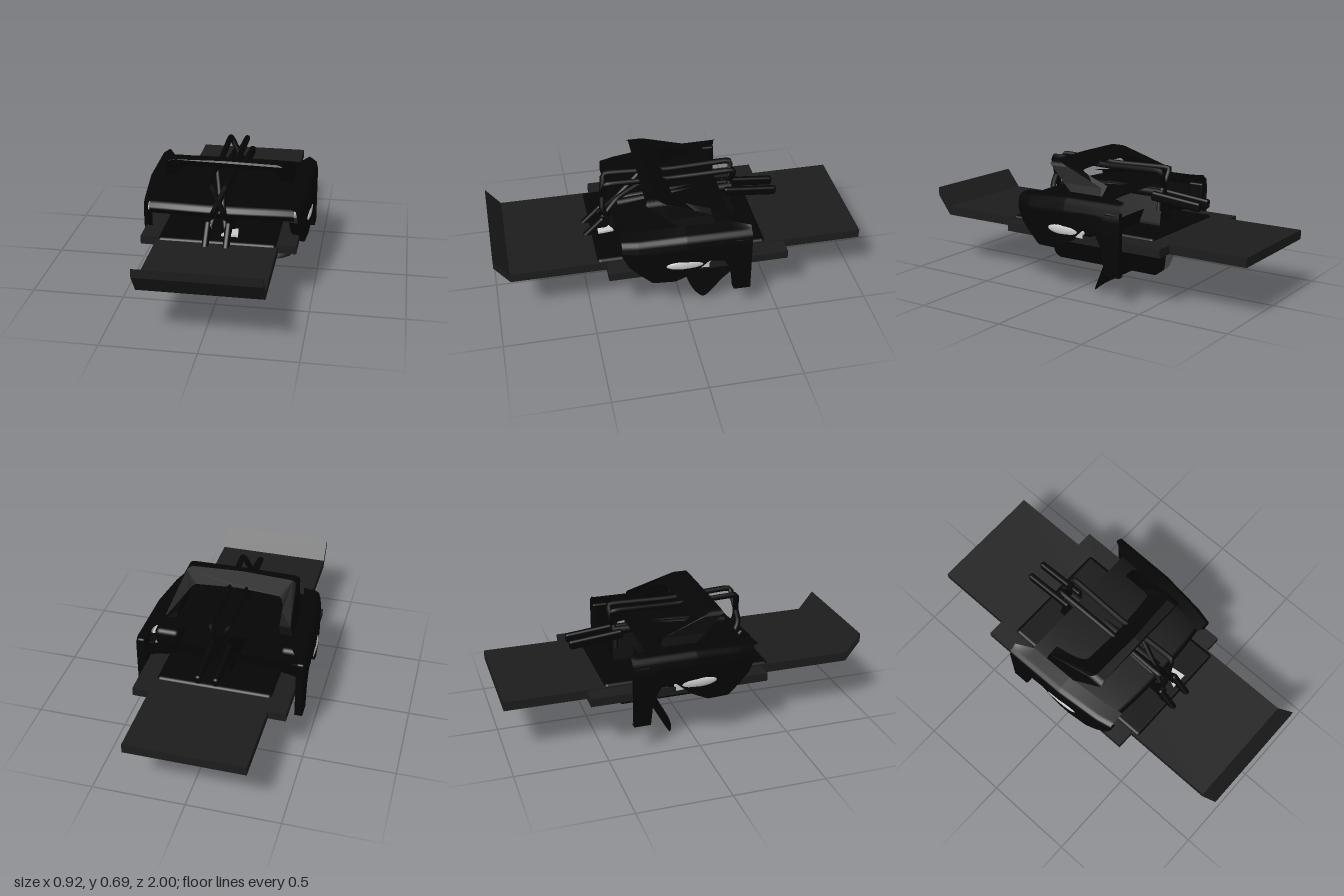
import * as THREE from 'three';
import { ParametricGeometry } from 'three/addons/geometries/ParametricGeometry.js';
import { RoundedBoxGeometry } from 'three/addons/geometries/RoundedBoxGeometry.js';

const mat = (color) => new THREE.MeshStandardMaterial({ color, side: THREE.DoubleSide });
const black = mat(0x050505), dark = mat(0x1c1c1c), pale = mat(0xcccccc);
const V = (x, y, z) => new THREE.Vector3(x, y, z);

export function createModel() {
  const root = new THREE.Group();
  const add = (name, geo, m = black, x = 0, y = 0, z = 0) => {
    const mesh = new THREE.Mesh(geo, m);
    mesh.name = name;
    mesh.position.set(x, y, z);
    root.add(mesh);
    return mesh;
  };
  const surface = (fn, nu, nv) => new ParametricGeometry((u, v, t) => t.set(...fn(u, v)), nu, nv);
  const tube = (pts, r) =>
    new THREE.TubeGeometry(new THREE.CatmullRomCurve3(pts.map((p) => V(...p)), false, 'catmullrom', 0.3), 60, r, 8);
  // linear interpolation in a short list of [key, value] pairs, keys rising
  const table = (list, k) => {
    let i = 1;
    while (i < list.length - 1 && list[i][0] < k) i++;
    const [a, b] = [list[i - 1], list[i]];
    return a[1] + (b[1] - a[1]) * THREE.MathUtils.clamp((k - a[0]) / (b[0] - a[0]), 0, 1);
  };

  // flat decks
  add('longDeck', new THREE.BoxGeometry(0.64, 0.05, 1.92), dark, 0, 0.308, -0.04);
  add('wideDeck', new THREE.BoxGeometry(0.83, 0.046, 0.975), dark, 0, 0.306, -0.0775);

  // upturned front lip of the deck
  const lip = new THREE.Shape([[0.92, 0.283], [1, 0.39], [1, 0.437], [0.92, 0.333]].map((p) => new THREE.Vector2(-p[0], p[1])));
  const lipGeo = new THREE.ExtrudeGeometry(lip, { depth: 0.64, bevelEnabled: false });
  lipGeo.translate(0, 0, -0.32).rotateY(Math.PI / 2);
  add('frontLip', lipGeo, dark);

  // flat panel set into the deck
  add('floorPanel', new RoundedBoxGeometry(0.63, 0.075, 0.92, 3, 0.02), black, 0, 0.307, -0.005);

  // bonnet, gently crowned, with a folded front edge
  add('bonnet', surface((u, v) => {
    const x = u * 2 - 1;
    const z = table([[0, 0.32], [0.12, 0.34], [0.2, 0.32], [1, -0.26]], v);
    const y = table([[0, 0.42], [0.12, 0.46], [0.2, 0.49], [0.6, 0.525], [1, 0.542]], v);
    return [x * 0.388, y - 0.006 * x ** 4, z - 0.03 * x * x * (1 - v)];
  }, 24, 24));

  // lower apron, sloping back as it rises and wrapping at the ends
  add('apron', surface((u, v) => {
    const x = u * 2 - 1, y = 0.42 * v;
    const hw = table([[0, 0.33], [0.02, 0.35], [0.06, 0.365], [0.17, 0.392], [0.28, 0.438], [0.42, 0.45]], y);
    const z = table([[0, -0.065], [0.06, -0.1], [0.25, -0.2], [0.42, -0.24]], y);
    return [x * hw, y + 0.012 * x ** 8 * (1 - v), z - 0.05 * x ** 4];
  }, 30, 20));

  // bar arch leaning forwards, its legs deepening towards the feet
  const arch = new THREE.Shape();
  arch.moveTo(-0.36, 0.52).lineTo(-0.34, 0.58).lineTo(-0.318, 0.66).quadraticCurveTo(-0.308, 0.682, -0.28, 0.685)
    .lineTo(0, 0.69).lineTo(0.28, 0.685).quadraticCurveTo(0.308, 0.682, 0.318, 0.66).lineTo(0.34, 0.58).lineTo(0.36, 0.52);
  arch.lineTo(0.288, 0.52).lineTo(0.28, 0.58).lineTo(0.275, 0.6).quadraticCurveTo(0.265, 0.637, 0.23, 0.639)
    .lineTo(0, 0.645).lineTo(-0.23, 0.639).quadraticCurveTo(-0.265, 0.637, -0.275, 0.6).lineTo(-0.28, 0.58).lineTo(-0.288, 0.52);
  const archGeo = new THREE.ExtrudeGeometry(arch, { depth: 1, bevelEnabled: false, curveSegments: 8 });
  const ap = archGeo.attributes.position;
  for (let i = 0; i < ap.count; i++) {
    const y = ap.getY(i);
    const front = table([[0.52, 0], [0.58, 0.08], [0.64, 0.15], [0.67, 0.19], [0.69, 0.18]], y);
    const back = table([[0.52, -0.17], [0.58, -0.16], [0.64, 0.03], [0.69, 0.14]], y);
    ap.setZ(i, ap.getZ(i) > 0.5 ? front : back);
  }
  archGeo.computeVertexNormals();
  add('barArch', archGeo);

  // sideways bow of the two inner panels by height
  const bow = (y) => table([[0.04, 0], [0.1, -0.025], [0.2, -0.06], [0.28, -0.075], [0.36, -0.06], [0.43, -0.04], [0.5, -0.02], [0.56, 0.005], [0.65, 0.055]], y);

  for (const s of [-1, 1]) {
    // fender skin with a wheel opening and a rear leg
    const lower = [[-0.35, 0.15], [-0.255, 0.15], [-0.245, 0.28], [-0.2, 0.36], [-0.12, 0.37], [-0.04, 0.3], [0.06, 0.25], [0.18, 0.25], [0.3, 0.36], [0.34, 0.44]];
    add('fender', surface((u, v) => {
      const z = 0.335 - 0.685 * u;
      const x = table([[-0.35, 0.46], [0, 0.455], [0.25, 0.43], [0.335, 0.41]], z);
      const yb = table(lower, z);
      const reach = table([[-0.35, 0.5], [-0.25, 1]], z);
      const inset = table([[0, 0.1 * reach], [0.2, 0.035], [0.3, 0.01], [0.4, 0], [0.85, 0], [0.9, 0.015], [1, 0.045]], v);
      const y = table([[0, 0.54], [0.2, 0.53], [0.3, 0.512], [0.4, 0.47], [0.85, yb], [1, yb]], v);
      return [s * (x - inset), y - 0.1 * Math.max(0, z) * (1 - v), z];
    }, 60, 20));
    add('fenderLeg', new RoundedBoxGeometry(0.045, 0.34, 0.09, 3, 0.012), black, s * 0.436, 0.317, -0.3);

    // pale lamp wrapping the corner, with a black housing behind and above
    add('lamp', surface((u, v) => {
      const a = u * Math.PI / 2, b = (v - 0.5) * 2;
      return [s * (0.3 + 0.155 * Math.sin(a)), 0.357 + 0.03 * b, -0.12 + (0.22 - 0.025 * b * b) * Math.cos(a)];
    }, 16, 8), pale);
    add('lampHousing', new RoundedBoxGeometry(0.145, 0.1, 0.17, 4, 0.03), black, s * 0.355, 0.375, -0.075);
    const lampTip = add('lampTip', new THREE.SphereGeometry(1, 16, 10), pale, s * 0.445, 0.355, -0.01);
    lampTip.scale.set(0.015, 0.03, 0.12);

    // inner side panel
    add('innerPanel', surface((u, v) => {
      const y = 0.04 + 0.46 * v;
      const f = table([[0.04, 0.36], [0.06, 0.388], [0.32, 0.388], [0.45, 0.33], [0.5, 0.3]], y);
      const b = table([[0.04, -0.29], [0.09, -0.36], [0.2, -0.393], [0.25, -0.36], [0.5, -0.34]], y);
      return [s * bow(y), y, f + (b - f) * u];
    }, 20, 30));

    // slim window frame above the panel
    add('windowFrame', tube([[0.36, 0.42], [0.385, 0.48], [0.365, 0.62], [0.34, 0.647], [0, 0.634], [-0.32, 0.64], [-0.345, 0.62], [-0.33, 0.5], [-0.335, 0.42]]
      .map(([z, y]) => [s * bow(y), y, z]), 0.016));
    add('windowStrut', tube([[s * 0.04, 0.4, 0.4], [s * 0.01, 0.52, 0.29], [s * 0.05, 0.65, 0.14]], 0.015));
    add('panelSill', tube([[s * bow(0.5), 0.49, 0.3], [s * bow(0.51), 0.51, 0], [s * bow(0.51), 0.51, -0.34]], 0.024));

    // front foot reaching below the deck
    const foot = add('frontFoot', new RoundedBoxGeometry(0.035, 0.065, 0.3, 3, 0.015), black, s * 0.055, 0.31, 0.475);
    foot.rotation.x = 0.78;

    // rear arm
    const arm = add('rearArm', new RoundedBoxGeometry(0.034, 0.052, 0.3, 3, 0.014), black, s * 0.047, 0.487, -0.44);
    arm.rotation.x = -0.1;
  }

  // small pale corner plate near the front
  const plate = new THREE.Shape([[0.02, 0.42], [0.11, 0.42], [0.1, 0.335], [0.045, 0.36]].map((p) => new THREE.Vector2(p[0], -p[1])));
  const plateGeo = new THREE.ExtrudeGeometry(plate, { depth: 0.012, bevelEnabled: false });
  plateGeo.rotateX(-Math.PI / 2);
  add('smallPlate', plateGeo, pale, 0, 0.363, 0);
  return root;
}
